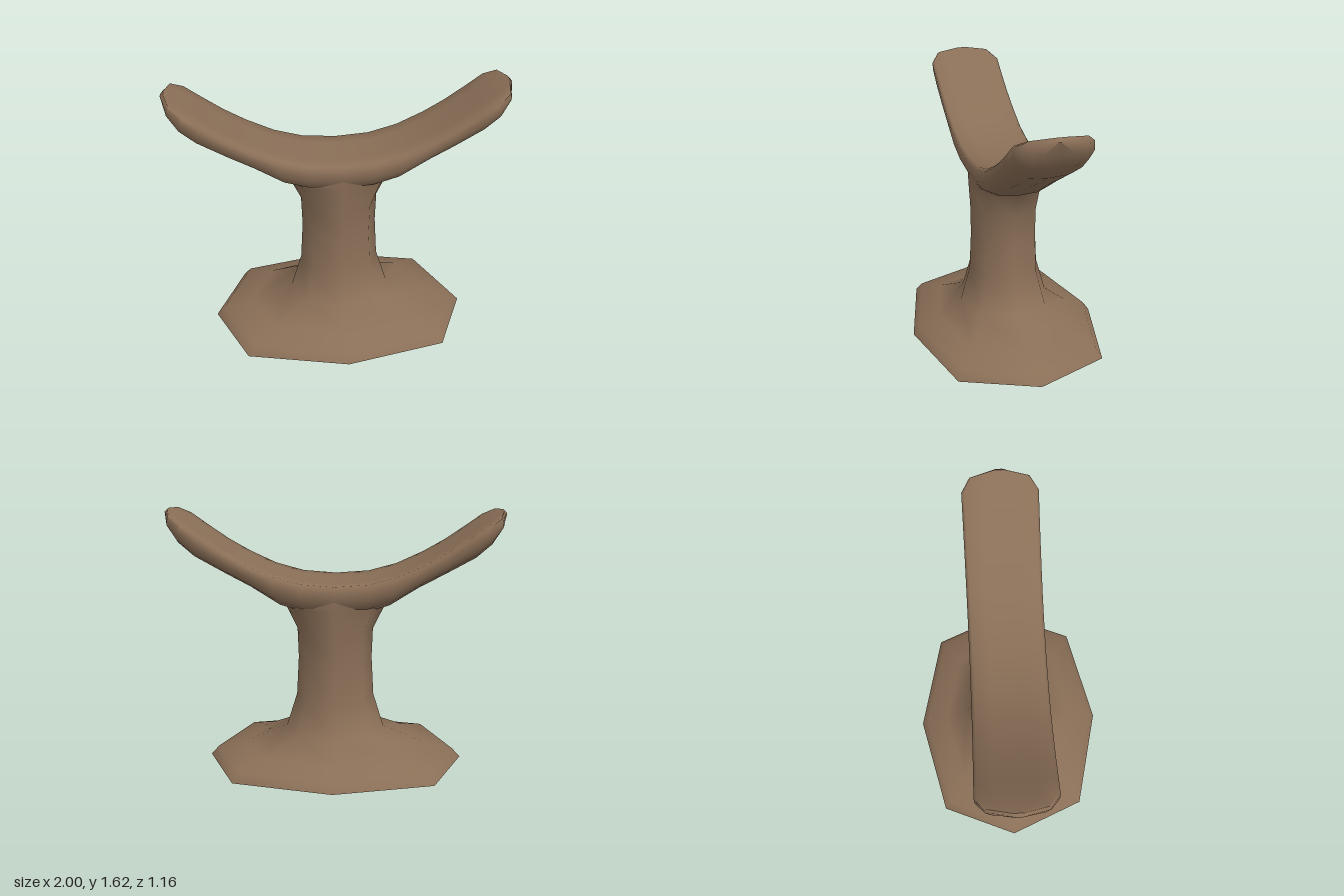
import * as THREE from 'three';
import { toCreasedNormals } from 'three/addons/utils/BufferGeometryUtils.js';

const wood = new THREE.MeshStandardMaterial({ color: 0x8a6f57, roughness: 0.8 });

// Skin a list of closed cross-sections and close both ends with fans.
function loft(sections, startCentre, endCentre) {
  const n = sections[0].length;
  const last = (sections.length - 1) * n;
  const points = [...sections.flat(), startCentre, endCentre];
  const start = points.length - 2, end = points.length - 1;
  const index = [];
  for (let j = 0; j < n; j++) {
    const k = (j + 1) % n;
    for (let i = 0; i < last; i += n) {
      index.push(i + j, i + k, i + n + j, i + k, i + n + k, i + n + j);
    }
    index.push(start, k, j, end, last + j, last + k);
  }
  const geometry = new THREE.BufferGeometry();
  geometry.setAttribute('position', new THREE.Float32BufferAttribute(points.flat(), 3));
  geometry.setIndex(index);
  return toCreasedNormals(geometry, 1.1);
}

// Eight-sided ring with half-widths rx and rz; k places the diagonal corners.
function octagon([y, rx, rz, k]) {
  const unit = [[0, 1], [k, k], [1, 0], [k, -k], [0, -1], [-k, -k], [-1, 0], [-k, k]];
  return unit.map(([x, z]) => [x * rx, y, z * rz]);
}

// Cross-section of the rest: depth fraction from top to underside, then z fraction.
const half = [[0, 0.5], [0, 0.92], [0.1, 1], [0.45, 0.98], [0.75, 0.83], [0.95, 0.5]];
const outline = [[0, 0], ...half, [1, 0], ...half.map(([t, z]) => [t, -z]).reverse()];

function restSection([tx, ty, bx, by, hz]) {
  return outline.map(([t, z]) => [tx + (bx - tx) * t, ty + (by - ty) * t, z * hz]);
}

export function createModel() {
  const group = new THREE.Group();
  const add = (name, geometry) => {
    const mesh = new THREE.Mesh(geometry, wood);
    mesh.name = name;
    group.add(mesh);
  };

  // Octagonal foot sweeping up into the waisted column: y, half x, half z, diagonal
  const pedestal = [
    [0.015, 0.6, 0.45, 0.76],
    [0.07, 0.78, 0.58, 0.76],
    [0.125, 0.73, 0.54, 0.76],
    [0.17, 0.55, 0.41, 0.75],
    [0.27, 0.3, 0.275, 0.74],
    [0.48, 0.235, 0.215, 0.74],
    [0.72, 0.222, 0.203, 0.74],
    [0.9, 0.228, 0.205, 0.74],
    [1.05, 0.3, 0.214, 0.74],
    [1.12, 0.39, 0.216, 0.7],
  ];
  add('pedestal', loft(pedestal.map(octagon), [0, 0, 0], [0, 1.12, 0]));

  // Right half of the curved rest: top x, y, underside x, y, half depth
  const arm = [
    [0.2, 1.213, 0.19, 1.02, 0.22],
    [0.37, 1.26, 0.32, 1.06, 0.22],
    [0.53, 1.335, 0.49, 1.17, 0.22],
    [0.66, 1.41, 0.64, 1.25, 0.22],
    [0.79, 1.5, 0.82, 1.35, 0.22],
    [0.88, 1.565, 0.91, 1.43, 0.22],
    [0.95, 1.605, 0.97, 1.52, 0.17],
    [0.98, 1.62, 1.0, 1.6, 0.03],
  ];
  const mirrored = arm.map(([tx, ty, bx, by, hz]) => [-tx, ty, -bx, by, hz]).reverse();
  const rest = [...mirrored, [0, 1.198, 0, 1.0, 0.22], ...arm];
  add('curvedRest', loft(rest.map(restSection), [-0.99, 1.61, 0], [0.99, 1.61, 0]));

  return group;
}
